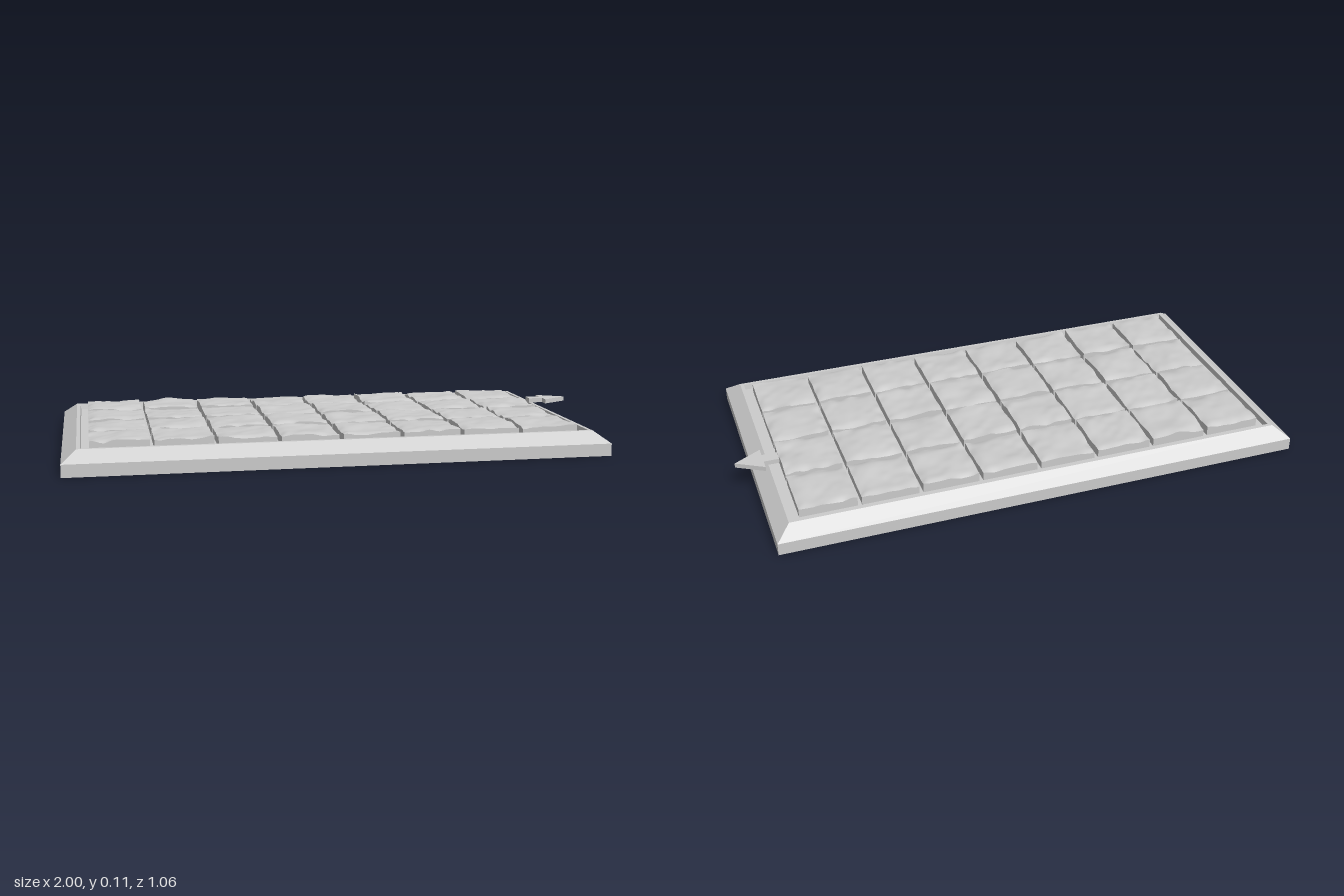
import * as THREE from 'three';

const CX = -0.0325, HX = 0.9675, HZ = 0.53;   // centre and half sizes of the base
const FLOOR = 0.065;

// Small repeatable noise
function hash(i, j) {
  const s = Math.sin(i * 127.1 + j * 311.7) * 43758.5453;
  return s - Math.floor(s);
}
function noise(x, z) {
  const i = Math.floor(x), j = Math.floor(z);
  const ease = t => t * t * (3 - 2 * t);
  const u = ease(x - i), v = ease(z - j);
  const a = hash(i, j) + (hash(i + 1, j) - hash(i, j)) * u;
  const b = hash(i, j + 1) + (hash(i + 1, j + 1) - hash(i, j + 1)) * u;
  return a + (b - a) * v;
}

// Hollow frame and recessed floor, stepped inward through rectangular rings
function frameGeometry() {
  const rings = [[0, 0], [0, 0.045], [0.052, 0.085], [0.065, 0.085], [0.068, FLOOR]];
  const corner = ([inset, y], k) => {
    const sx = k % 4 === 0 || k % 4 === 3 ? 1 : -1, sz = k % 4 < 2 ? 1 : -1;
    return [CX + sx * (HX - inset), y, sz * (HZ - inset)];
  };
  const pos = [];
  const quad = (a, b, c, d) => pos.push(...a, ...b, ...c, ...a, ...c, ...d);
  for (let r = 0; r < rings.length - 1; r++) {
    for (let k = 0; k < 4; k++) {
      quad(corner(rings[r], k + 1), corner(rings[r], k),
        corner(rings[r + 1], k), corner(rings[r + 1], k + 1));
    }
  }
  const last = rings[rings.length - 1];
  quad(corner(last, 0), corner(last, 3), corner(last, 2), corner(last, 1));
  const g = new THREE.BufferGeometry();
  g.setAttribute('position', new THREE.Float32BufferAttribute(pos, 3));
  g.computeVertexNormals();
  return g;
}

// Stone slab: straight sides, worn top with chipped edges
function slabGeometry(cx, cz, size, seed) {
  const bottom = 0.056, n = 16;
  const g = new THREE.BoxGeometry(size, 1, size, n, 1, n);
  const p = g.attributes.position;
  const level = 0.099 + 0.005 * hash(seed, 3);
  for (let i = 0; i < p.count; i++) {
    const x = p.getX(i), z = p.getZ(i);
    let y = bottom;
    if (p.getY(i) > 0) {
      const u = x + cx + seed * 3.7, v = z + cz + seed * 1.3;
      const edge = size / 2 - Math.max(Math.abs(x), Math.abs(z));
      const wear = Math.max(0, 1 - edge / 0.02);
      y = level + 0.010 * (noise(u * 11, v * 11) - 0.5) + 0.004 * (noise(u * 34, v * 34) - 0.5)
        - wear * 0.010 * noise(u * 28 + 9, v * 28);
    }
    p.setXYZ(i, x + cx, y, z + cz);
  }
  g.computeVertexNormals();
  return g;
}

export function createModel() {
  const model = new THREE.Group();
  const stone = new THREE.MeshStandardMaterial({ color: 0xcccccc });
  const shell = new THREE.MeshStandardMaterial({ color: 0xcccccc, side: THREE.DoubleSide, flatShading: true });
  const add = (geometry, name, material, parent = model) => {
    const mesh = new THREE.Mesh(geometry, material);
    mesh.name = name;
    parent.add(mesh);
    return mesh;
  };

  add(frameGeometry(), 'baseFrame', shell);

  // Eight by four stone slabs
  const slabs = new THREE.Group();
  slabs.name = 'stoneSlabs';
  model.add(slabs);
  const pitch = 0.22, size = 0.205;
  for (let row = 0; row < 4; row++) {
    for (let col = 0; col < 8; col++) {
      const x = CX + (col - 3.5) * pitch, z = (row - 1.5) * pitch;
      add(slabGeometry(x, z, size, row * 8 + col + 1), 'stoneSlab', stone, slabs);
    }
  }

  // Flat arrow overhanging the left edge
  const outline = [[0.845, 0.022], [0.9, 0.022], [0.9, 0.058], [1, 0], [0.9, -0.058], [0.9, -0.022], [0.845, -0.022]];
  const shape = new THREE.Shape(outline.map(([x, z]) => new THREE.Vector2(x, z)));
  const arrow = new THREE.ExtrudeGeometry(shape, { depth: 0.017, bevelEnabled: false });
  arrow.rotateX(-Math.PI / 2).translate(0, 0.097, -0.112);
  add(arrow, 'directionArrow', stone);

  return model;
}
